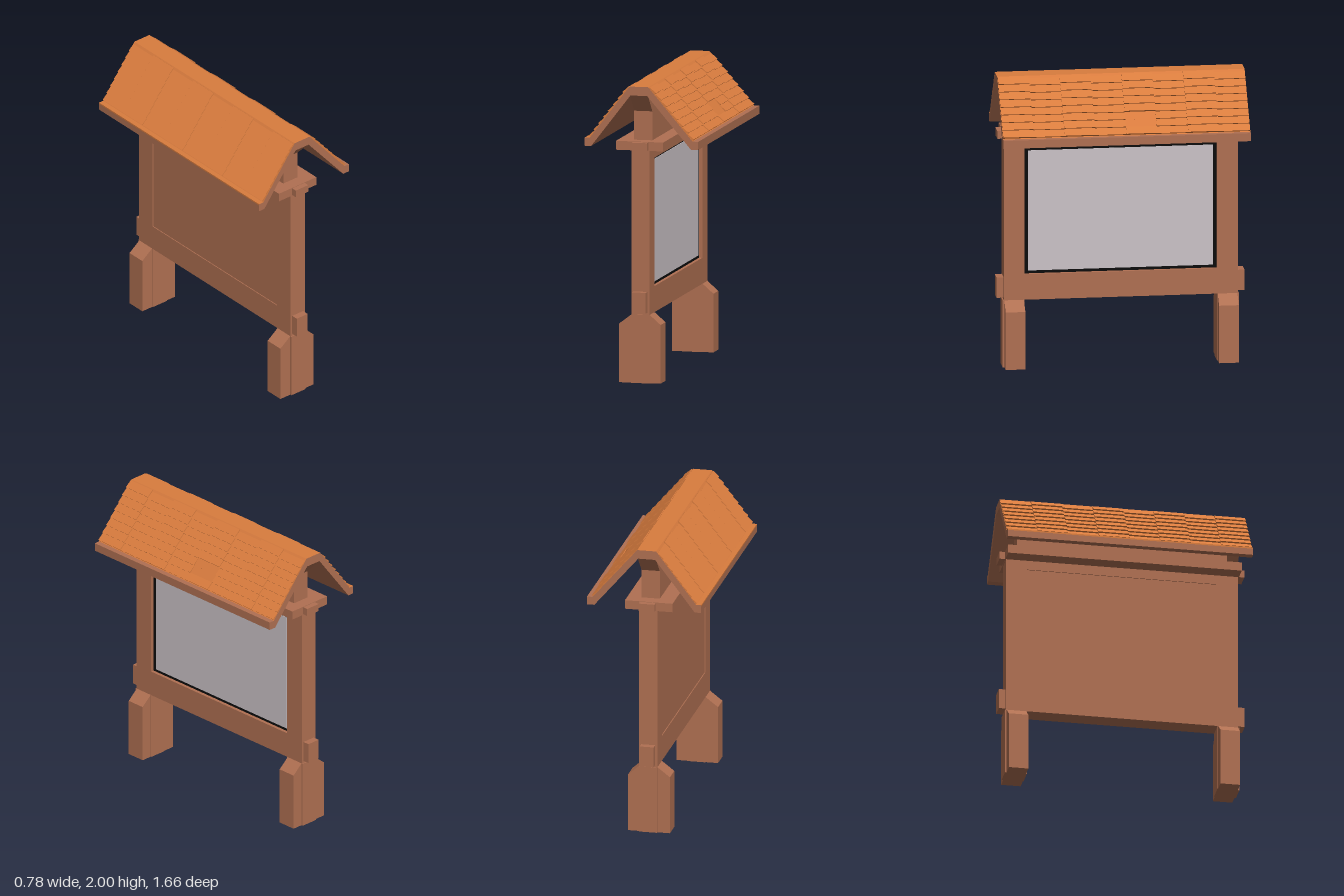
import * as THREE from 'three';

const material = (color) => new THREE.MeshStandardMaterial({ color, flatShading: true });

export function createModel() {
  const model = new THREE.Group();
  const wood = material(0xb07052);
  const orange = material(0xd97c3e);
  const black = material(0x0c0c0c);
  const paper = material(0xcbc3c8);

  const add = (name, geometry, mat = wood) => {
    const mesh = new THREE.Mesh(geometry, mat);
    mesh.name = name;
    model.add(mesh);
    return mesh;
  };
  // Box given by its limits on each axis
  const box = (name, x0, x1, y0, y1, z0, z1, mat) => {
    const g = new THREE.BoxGeometry(x1 - x0, y1 - y0, z1 - z0);
    g.translate((x0 + x1) / 2, (y0 + y1) / 2, (z0 + z1) / 2);
    return add(name, g, mat);
  };
  const outline = (points) => new THREE.Shape(points.map((p) => new THREE.Vector2(...p)));
  // Profile in x, y drawn out along z
  const alongZ = (points, z0, z1) =>
    new THREE.ExtrudeGeometry(outline(points), { depth: z1 - z0, bevelEnabled: false }).translate(0, 0, z0);
  // Profile in z, y drawn out along x
  const alongX = (shape, x0, x1) =>
    new THREE.ExtrudeGeometry(shape, { depth: x1 - x0, bevelEnabled: false })
      .rotateY(Math.PI / 2).translate(x0, 0, 0);
  const rect = (z, y0, y1) => [[-z, y0], [z, y0], [z, y1], [-z, y1]];

  const X0 = -0.08, X1 = 0.045; // thickness of posts and board

  // Board with a window
  const boardShape = outline(rect(0.785, 0.46, 1.57));
  boardShape.holes.push(outline(rect(0.645, 0.635, 1.5)));
  add('board', alongX(boardShape, X0, X1));
  box('backPanel', X0 + 0.006, -0.03, 0.635, 1.5, -0.645, 0.645);
  box('windowBacking', -0.03, 0.022, 0.635, 1.5, -0.645, 0.645, black);
  box('noticeSheet', 0.02, 0.026, 0.655, 1.48, -0.62, 0.62, paper);

  // Feet, rail ends and cheeks at both ends
  for (const s of [1, -1]) {
    const span = (a, b) => (s > 0 ? [a, b] : [-b, -a]);
    box('postFoot', X0, X1, 0, 0.46, ...span(0.645, 0.793));
    const cheek = (outer, inner) =>
      add('footCheek', alongZ([[inner, 0], [outer, 0], [outer, 0.395], [inner, 0.46]], ...span(0.65, 0.782)));
    cheek(-0.165, X0);
    cheek(0.12, X1);
    box('lowerRailEnd', -0.065, 0.03, 0.475, 0.615, ...span(0.78, 0.832));
    box('upperRailEnd', -0.07, 0.038, 1.57, 1.622, ...span(0.78, 0.828));
  }

  // Shelf above the board, and the wall that flares out to carry the ridge
  box('shelf', -0.185, 0.14, 1.565, 1.625, -0.79, 0.79);
  add('ridgeSupport', alongX(outline([
    [-0.71, 1.62], [0.71, 1.62], [0.71, 1.82], [0.829, 1.942], [-0.829, 1.942], [-0.71, 1.82],
  ]), X0, X1));

  // Roof slab with a coloured skin on top
  const W = 0.83, T = 0.01;
  const leftTop = [-0.082, 2], leftEnd = [-0.355, 1.645];
  const rightTop = [0.047, 2], rightEnd = [0.352, 1.645];
  const skin = [[-0.39, 1.645], leftEnd, leftTop, rightTop, rightEnd];
  const under = skin.map(([x, y]) => [x, y - T]);
  add('roofSlab', alongZ([
    [-0.39, 1.59], ...under, [0.352, 1.645], [0.39, 1.645], [0.39, 1.59],
    [0.34, 1.59], [0.04, 1.94], [-0.075, 1.94], [-0.345, 1.59],
  ], -W, W));
  add('roofSkin', alongZ([...skin, ...under.reverse()], -W, W), [wood, orange]);

  // Shingle columns: a stepped profile down each slope
  const COLUMNS = 8, ROWS = 8;
  const shingles = (name, top, end, missing) => {
    const a = new THREE.Vector2(...top);
    const d = new THREE.Vector2(...end).sub(a);
    const length = d.length();
    d.normalize();
    const n = new THREE.Vector2(-d.y, d.x);
    if (n.y < 0) n.negate();
    const at = (s, h) => [a.x + d.x * s + n.x * h, a.y + d.y * s + n.y * h];
    for (let c = 0; c < COLUMNS; c++) {
      const lift = c % 2 ? 0.006 : 0.001;
      const start = c % 2 ? 0.008 : 0.018;
      const step = (length - 0.006 - start) / ROWS;
      const points = [at(start, -0.004)];
      for (let r = 0; r < ROWS; r++) {
        const gone = missing(c, r);
        points.push(at(start + r * step, gone ? 0.0004 : lift));
        points.push(at(start + (r + 1) * step, gone ? 0.0005 : lift + 0.01));
      }
      points.push(at(start + ROWS * step, -0.004));
      const width = (2 * W - 0.004) / COLUMNS;
      const z0 = -W + 0.002 + c * width;
      add(name, alongZ(points, z0, z0 + width), orange);
    }
  };
  shingles('leftShingles', rightTop, rightEnd, (c, r) => c === 3 && (r === 5 || r === 6));
  shingles('rightShingles', leftTop, leftEnd, () => false);

  return model;
}
